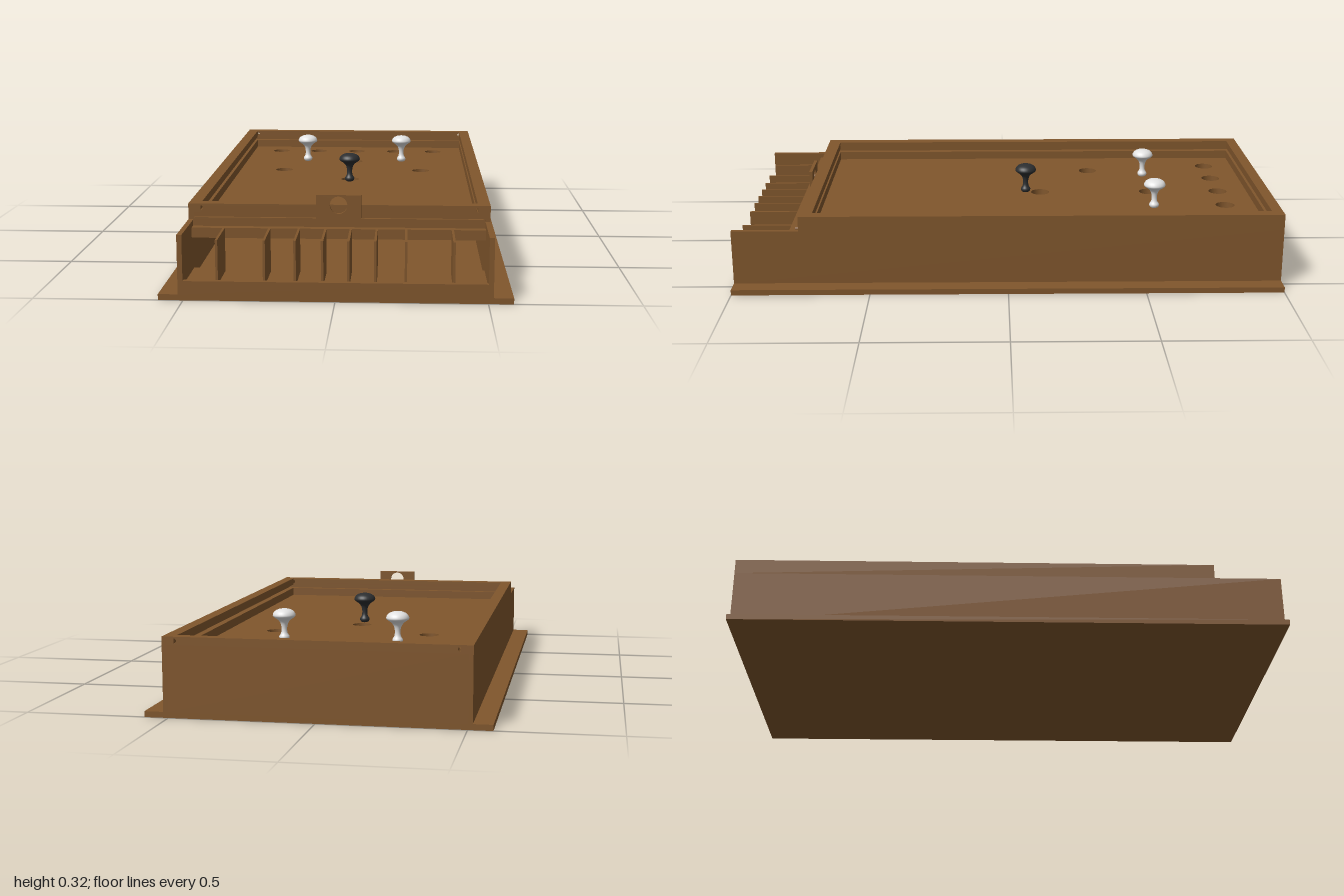
import * as THREE from 'three';

const wood = new THREE.MeshStandardMaterial({ color: 0x80562c });
wood.name = 'brown wood';
const white = new THREE.MeshStandardMaterial({ color: 0xe2e2e2 });
white.name = 'white';
const black = new THREE.MeshStandardMaterial({ color: 0x2c2e30 });
black.name = 'black';

export function createModel() {
  const root = new THREE.Group();

  const add = (name, geo, mat = wood) => {
    const m = new THREE.Mesh(geo, mat);
    m.name = name;
    root.add(m);
    return m;
  };
  // Box given by its extents on each axis
  const box = (name, x0, x1, y0, y1, z0, z1) =>
    add(name, new THREE.BoxGeometry(x1 - x0, y1 - y0, z1 - z0))
      .position.set((x0 + x1) / 2, (y0 + y1) / 2, (z0 + z1) / 2);
  const circle = (x, y, r) => new THREE.Path().absarc(x, y, r, 0, Math.PI * 2, true);

  // Base plate with side flanges
  box('basePlate', -0.583, 0.583, 0, 0.02, -1, 1);

  // Outer walls: full-length sides, low at the front tray
  for (const s of [-1, 1]) {
    const side = (name, a, b, ...rest) => box(name, Math.min(s * a, s * b), Math.max(s * a, s * b), ...rest);
    side('sideWall', 0.5, 0.517, 0.02, 0.22, -1, 1);
    side('sideWallTop', 0.5, 0.517, 0.22, 0.275, -1, 0.757);
    // Inner rim with a groove under its top edge
    side('sideRimTop', 0.475, 0.5, 0.247, 0.275, -1, 0.757);
    side('sideRimBottom', 0.475, 0.5, 0.2, 0.232, -0.985, 0.757);
  }
  box('backWall', -0.5, 0.5, 0.02, 0.247, -1, -0.985);
  box('backRimBottom', -0.475, 0.475, 0.2, 0.232, -0.985, -0.96);
  box('frontWall', -0.475, 0.475, 0.2, 0.232, 0.71, 0.757);
  box('frontGrooveWall', -0.5, 0.5, 0.232, 0.247, 0.735, 0.757);

  // End rims, notched at both ends by a small cord hole
  const rim = new THREE.Shape();
  rim.moveTo(-0.475, 0.247);
  rim.lineTo(0.475, 0.247);
  rim.absarc(0.475, 0.261, 0.008, -Math.PI / 2, Math.PI / 2, true);
  rim.lineTo(0.475, 0.275);
  rim.lineTo(-0.475, 0.275);
  rim.absarc(-0.475, 0.261, 0.008, Math.PI / 2, -Math.PI / 2, true);
  for (const [name, z, depth] of [['frontRim', 0.71, 0.047], ['backRim', -1, 0.04]]) {
    add(name, new THREE.ExtrudeGeometry(rim, { depth, bevelEnabled: false, curveSegments: 8 })).position.z = z;
  }

  // Playing board with holes (shape y is -z)
  const board = new THREE.Shape();
  board.moveTo(-0.5, -0.8);
  board.lineTo(0.5, -0.8);
  board.lineTo(0.5, 0.985);
  board.lineTo(-0.5, 0.985);
  const holes = [[-0.35, 0.845], [-0.175, 0.845], [0, 0.845], [0.175, 0.845], [0.35, 0.845],
    [0, 0.567], [-0.29, 0.345], [0.29, 0.345], [0, 0.135]];
  for (const [x, y] of holes) board.holes.push(circle(x, y, 0.036));
  const boardGeo = new THREE.ExtrudeGeometry(board, { depth: 0.035, bevelEnabled: false, curveSegments: 24 });
  boardGeo.rotateX(-Math.PI / 2);
  add('playingBoard', boardGeo).position.y = 0.165;

  // Front gate strip with a raised, pierced tab
  const gate = new THREE.Shape();
  gate.moveTo(-0.5, 0.2);
  gate.lineTo(0.5, 0.2);
  gate.lineTo(0.5, 0.22);
  gate.quadraticCurveTo(0.5, 0.23, 0.49, 0.23);
  gate.lineTo(0.077, 0.23);
  gate.lineTo(0.077, 0.311);
  gate.lineTo(-0.077, 0.311);
  gate.lineTo(-0.077, 0.23);
  gate.lineTo(-0.49, 0.23);
  gate.quadraticCurveTo(-0.5, 0.23, -0.5, 0.22);
  gate.holes.push(circle(0, 0.276, 0.03));
  add('gateWithTab', new THREE.ExtrudeGeometry(gate, { depth: 0.012, bevelEnabled: false, curveSegments: 16 }))
    .position.z = 0.758;

  // Score tray: front lip, floor and dividers
  box('trayLip', -0.5, 0.5, 0.02, 0.065, 0.98, 1);
  box('trayFloor', -0.5, 0.5, 0.02, 0.05, 0.76, 0.98);
  for (const x of [-0.39, -0.234, -0.133, -0.043, 0.043, 0.131, 0.231, 0.388]) {
    box('trayDivider', x - 0.004, x + 0.004, 0.05, 0.2, 0.8, 0.98);
  }

  // Mushroom-shaped pegs: ball foot, thin stem, flattened cap
  const profile = new THREE.SplineCurve([
    [0, 0.2], [0.014, 0.204], [0.019, 0.215], [0.012, 0.228], [0.01, 0.245], [0.014, 0.264],
    [0.024, 0.277], [0.038, 0.287], [0.041, 0.295], [0.034, 0.307], [0.018, 0.315], [0, 0.317],
  ].map(([r, y]) => new THREE.Vector2(r, y))).getPoints(33);
  profile.forEach((p) => { p.x = Math.max(0, p.x); });
  const pegGeo = new THREE.LatheGeometry(profile, 28);
  for (const [name, x, z, mat] of [['leftPeg', 0.206, -0.565, white],
    ['rightPeg', -0.206, -0.565, white], ['frontPeg', 0, -0.077, black]]) {
    add(name, pegGeo, mat).position.set(x, 0, z);
  }

  return root;
}
